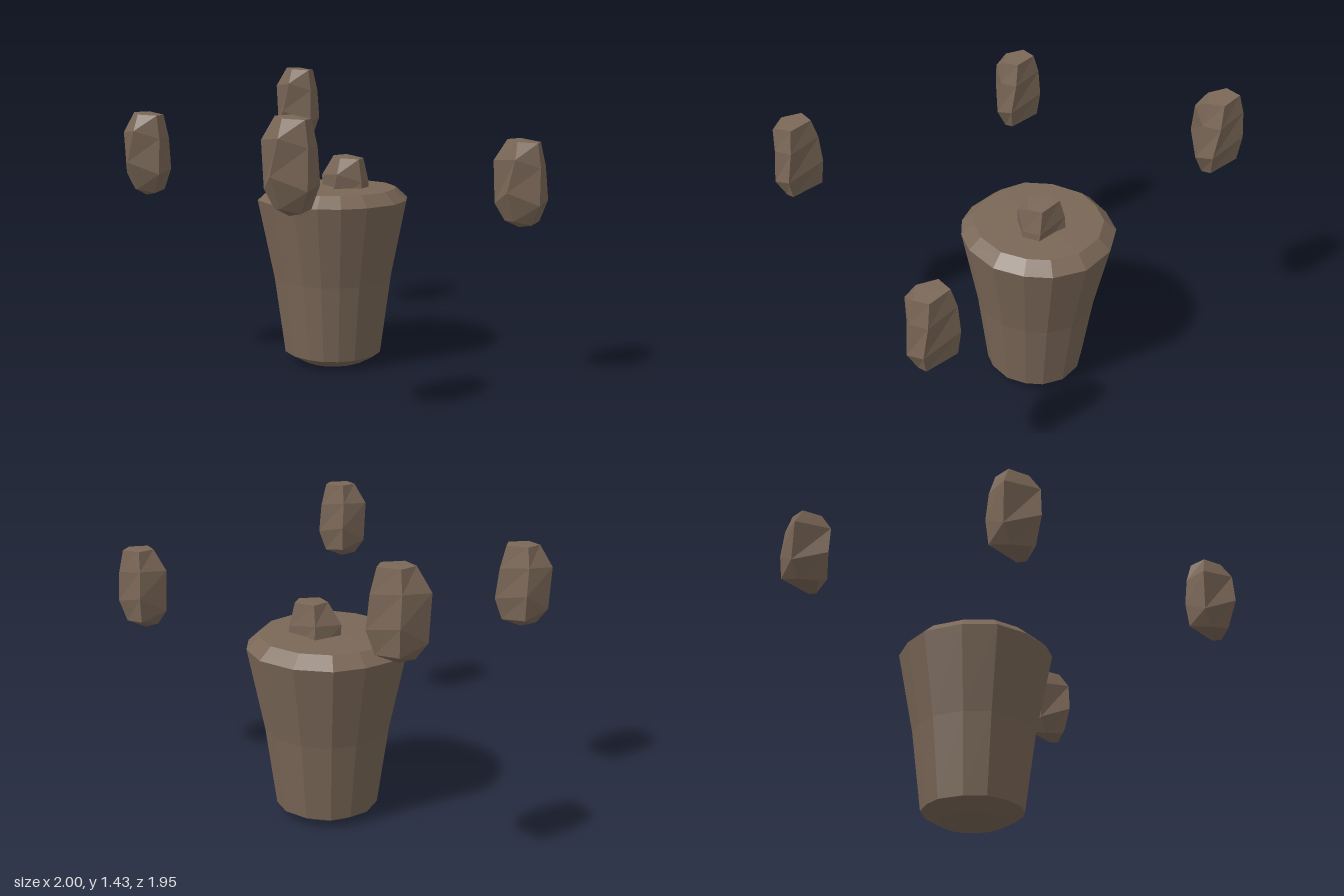
import * as THREE from 'three';

const material = new THREE.MeshStandardMaterial({ color: 0x7a6757, flatShading: true, roughness: 1 });

// Skin rings of [x, y, z] points (bottom to top, clockwise seen from above) and close both ends.
function loft(rings, bottom, top) {
  const pos = [];
  const tri = (...pts) => pts.forEach((p) => pos.push(...p));
  const n = rings[0].length;
  for (let i = 0; i < n; i++) {
    const j = (i + 1) % n;
    for (let r = 0; r < rings.length - 1; r++) {
      const lo = rings[r], hi = rings[r + 1];
      tri(lo[j], lo[i], hi[i]);
      tri(lo[j], hi[i], hi[j]);
    }
    const first = rings[0], last = rings[rings.length - 1];
    tri(bottom, first[i], first[j]);
    tri(top, last[j], last[i]);
  }
  const geo = new THREE.BufferGeometry();
  geo.setAttribute('position', new THREE.Float32BufferAttribute(pos, 3));
  geo.computeVertexNormals();
  return geo;
}

// Tapered stump: one uneven rim outline, scaled for each level
function createStump() {
  const cx = -0.1, cz = -0.235, rimRadius = 0.365;
  const rim = [
    [-0.1, -0.6], [0.08, -0.56], [0.2, -0.45], [0.25, -0.33], [0.26, -0.18],
    [0.19, -0.02], [0.1, 0.07], [0, 0.12], [-0.12, 0.13], [-0.27, 0.09],
    [-0.4, 0], [-0.46, -0.15], [-0.455, -0.34], [-0.38, -0.46], [-0.27, -0.56],
  ];
  const levels = [[0.005, 0.16], [0.05, 0.237], [0.43, 0.287], [0.825, 0.365], [0.88, 0.305]];
  const rings = levels.map(([y, radius]) => rim.map(([x, z]) => {
    const s = radius / rimRadius;
    return [cx + (x - cx) * s, y, cz + (z - cz) * s];
  }));
  const mesh = new THREE.Mesh(loft(rings, [cx, 0, cz], [cx, 0.888, cz]), material);
  mesh.name = 'stump';
  return mesh;
}

// Five-sided faceted rock, 0.4 tall, centred on its own origin
function createRockGeometry() {
  const rings = [
    [[-0.04, -0.14, -0.108], [0.09, -0.17, -0.03], [0.07, -0.185, 0.02], [0, -0.165, 0.07], [-0.065, -0.175, 0]],
    [[-0.045, -0.02, -0.122], [0.125, -0.07, -0.04], [0.115, -0.09, 0.045], [-0.015, -0.03, 0.12], [-0.12, -0.1, -0.01]],
    [[-0.045, 0.11, -0.108], [0.105, 0.08, -0.055], [0.11, 0.08, 0.03], [0.015, 0.12, 0.105], [-0.128, 0.1, -0.005]],
    [[-0.03, 0.2, -0.085], [0.08, 0.19, -0.05], [0.09, 0.19, 0.02], [0.005, 0.195, 0.055], [-0.065, 0.2, -0.01]],
  ];
  return loft(rings, [0.005, -0.2, 0], [0.015, 0.197, -0.015]);
}

export function createModel() {
  const model = new THREE.Group();
  model.name = 'stumpWithRocks';
  model.add(createStump());

  // Four floating rocks and one set into the stump top
  const rockGeometry = createRockGeometry();
  const rocks = [
    ['frontRightRock', -0.872, 1.055, 0.273],
    ['backRightRock', -0.672, 1.23, -0.858],
    ['frontLeftRock', 0.27, 1.125, 0.853],
    ['leftRock', 0.87, 0.965, -0.203],
    ['topRock', -0.055, 0.835, -0.258],
  ];
  for (const [name, x, y, z] of rocks) {
    const rock = new THREE.Mesh(rockGeometry, material);
    rock.name = name;
    rock.position.set(x, y, z);
    model.add(rock);
  }
  return model;
}
